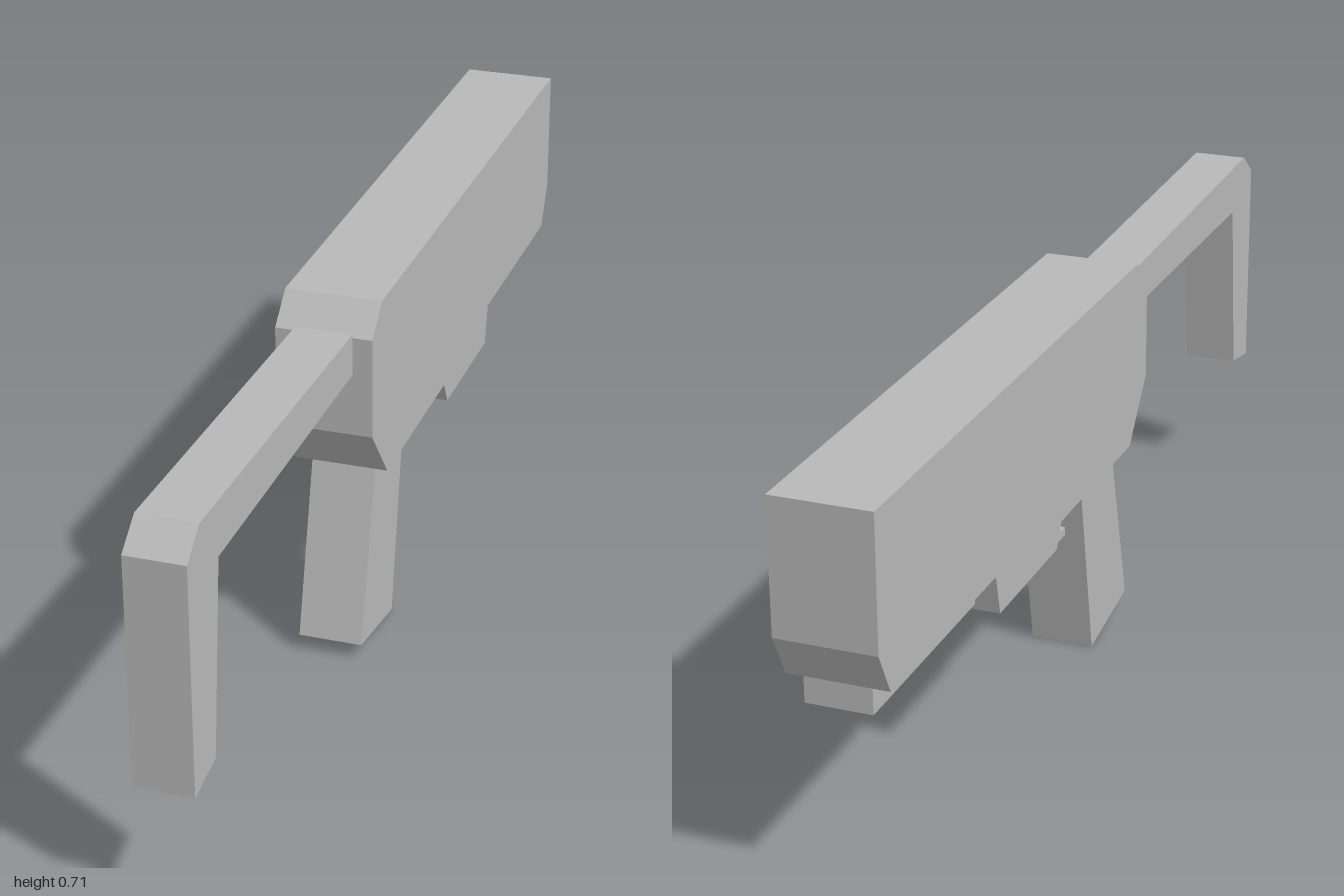
import * as THREE from 'three';

const grey = new THREE.MeshStandardMaterial({ color: 0xb8b8b8 });
grey.name = 'grey';

// Slab with a side outline given as [z, y] points, centred on x = 0
function slab(name, width, points) {
  const shape = new THREE.Shape(points.map(([z, y]) => new THREE.Vector2(z, y)));
  const geometry = new THREE.ExtrudeGeometry(shape, { depth: width, bevelEnabled: false });
  geometry.translate(0, 0, -width / 2);
  geometry.rotateY(-Math.PI / 2);
  const mesh = new THREE.Mesh(geometry, grey);
  mesh.name = name;
  return mesh;
}

export function createModel() {
  const model = new THREE.Group();
  model.name = 'blaster';

  // Chamfered main housing with the stepped underside
  model.add(slab('body', 0.176, [
    [0.22, 0.661], [0.165, 0.712], [-1, 0.712], [-1, 0.475], [-0.96, 0.396],
    [-0.535, 0.396], [-0.518, 0.321], [-0.252, 0.321], [-0.228, 0.365],
    [0.132, 0.365], [0.22, 0.475],
  ]));

  // Narrow rail under the far end
  model.add(slab('underRail', 0.116, [
    [-0.555, 0.396], [-0.555, 0.35], [-0.96, 0.35], [-0.96, 0.396],
  ]));

  // Bent shoulder stock
  model.add(slab('stock', 0.104, [
    [0.22, 0.667], [0.945, 0.688], [1, 0.645], [1, 0.232],
    [0.909, 0.248], [0.873, 0.591], [0.22, 0.591],
  ]));

  // Slanted hand grip
  model.add(slab('grip', 0.119, [
    [0.11, 0.365], [0.195, 0.031], [0.008, 0], [-0.056, 0.365],
  ]));

  // Trigger guard, a C-shaped loop open toward the grip
  model.add(slab('triggerGuard', 0.045, [
    [-0.05, 0.365], [-0.235, 0.365], [-0.255, 0.335], [-0.235, 0.245], [-0.035, 0.245],
    [-0.038, 0.261], [-0.206, 0.261], [-0.232, 0.345], [-0.05, 0.345],
  ]));

  return model;
}
